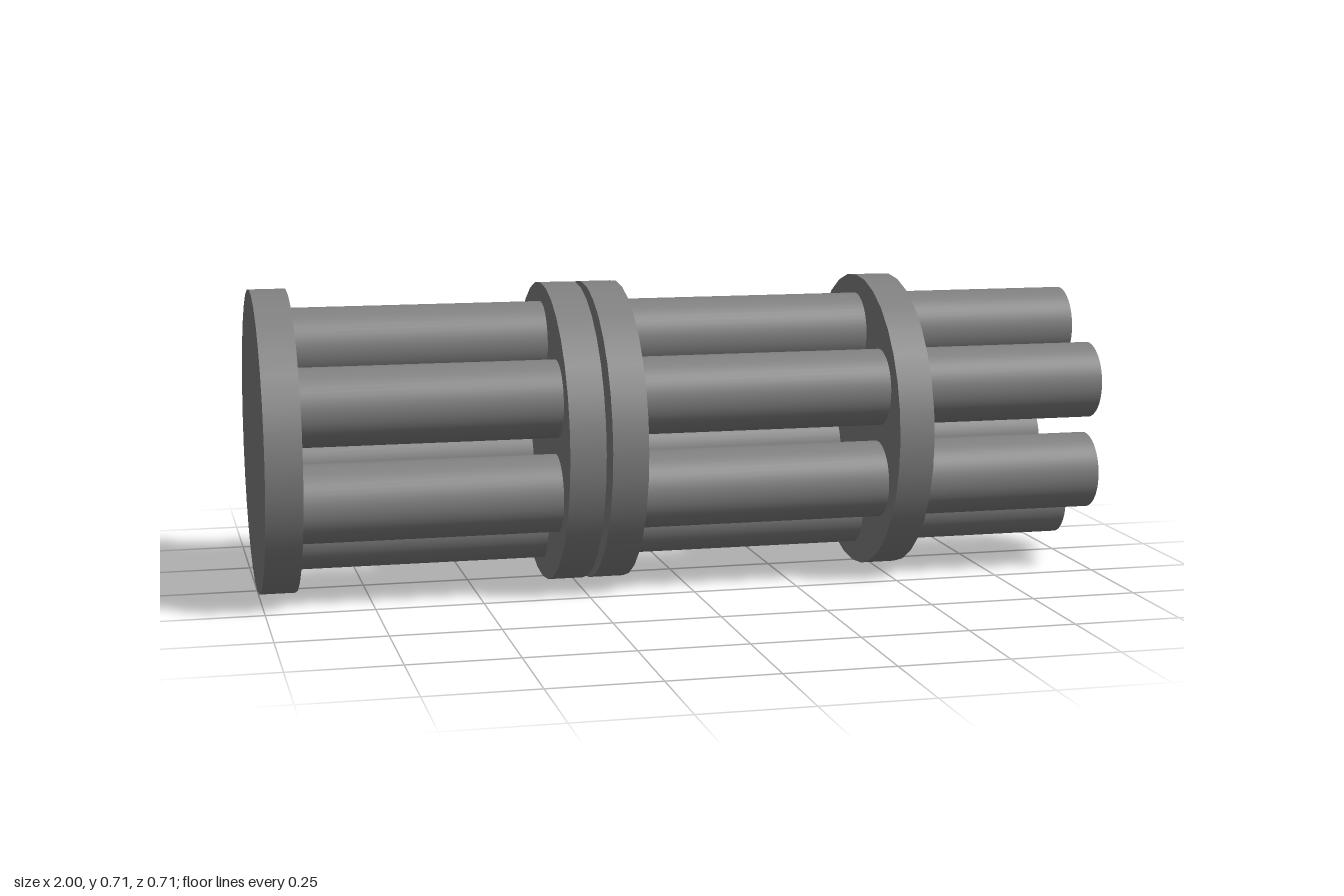
import * as THREE from 'three';
import { toCreasedNormals } from 'three/addons/utils/BufferGeometryUtils.js';

const DISC_R = 0.3565;
const TUBE_OUTER = 0.091;
const TUBE_INNER = 0.0735;

// Tube centres as [y, z]
const TUBE_CENTRES = [
  [0.577, 0], [0.463, 0.193], [0.463, -0.193],
  [0.24, 0.188], [0.261, -0.198], [0.137, -0.011],
];

// Solid disc lying across the x axis from x0 to x1
function discGeometry(x0, x1) {
  return new THREE.CylinderGeometry(DISC_R, DISC_R, x1 - x0, 32)
    .rotateZ(-Math.PI / 2)
    .translate((x0 + x1) / 2, DISC_R, 0);
}

// Hollow tube along x with a flat rim at each end
function tubeGeometry(x0, x1) {
  const profile = [
    [TUBE_INNER, x0], [TUBE_OUTER, x0], [TUBE_OUTER, x1], [TUBE_INNER, x1], [TUBE_INNER, x0],
  ].map(([r, x]) => new THREE.Vector2(r, x));
  const lathe = new THREE.LatheGeometry(profile, 48).rotateZ(-Math.PI / 2);
  return toCreasedNormals(lathe, 0.6);
}

export function createModel() {
  const model = new THREE.Group();
  model.name = 'rotaryBarrels';
  const material = new THREE.MeshStandardMaterial({ color: 0x808080 });

  const add = (name, geometry, parent) => {
    const mesh = new THREE.Mesh(geometry, material);
    mesh.name = name;
    parent.add(mesh);
    return mesh;
  };

  // Back plate, the two facing plates with a narrow gap, and the front clamp
  add('backPlate', discGeometry(-1, -0.916), model);
  add('rearCouplingPlate', discGeometry(-0.316, -0.232), model);
  add('frontCouplingPlate', discGeometry(-0.217, -0.133), model);
  add('barrelClamp', discGeometry(0.468, 0.552), model);

  // Six tubes in each section
  const sections = [
    ['rearTube', tubeGeometry(-0.96, -0.28)],
    ['barrel', tubeGeometry(-0.18, 1)],
  ];
  for (const [name, geometry] of sections) {
    const group = new THREE.Group();
    group.name = name + 's';
    TUBE_CENTRES.forEach(([y, z], i) => {
      add(name + (i + 1), geometry, group).position.set(0, y, z);
    });
    model.add(group);
  }
  return model;
}
